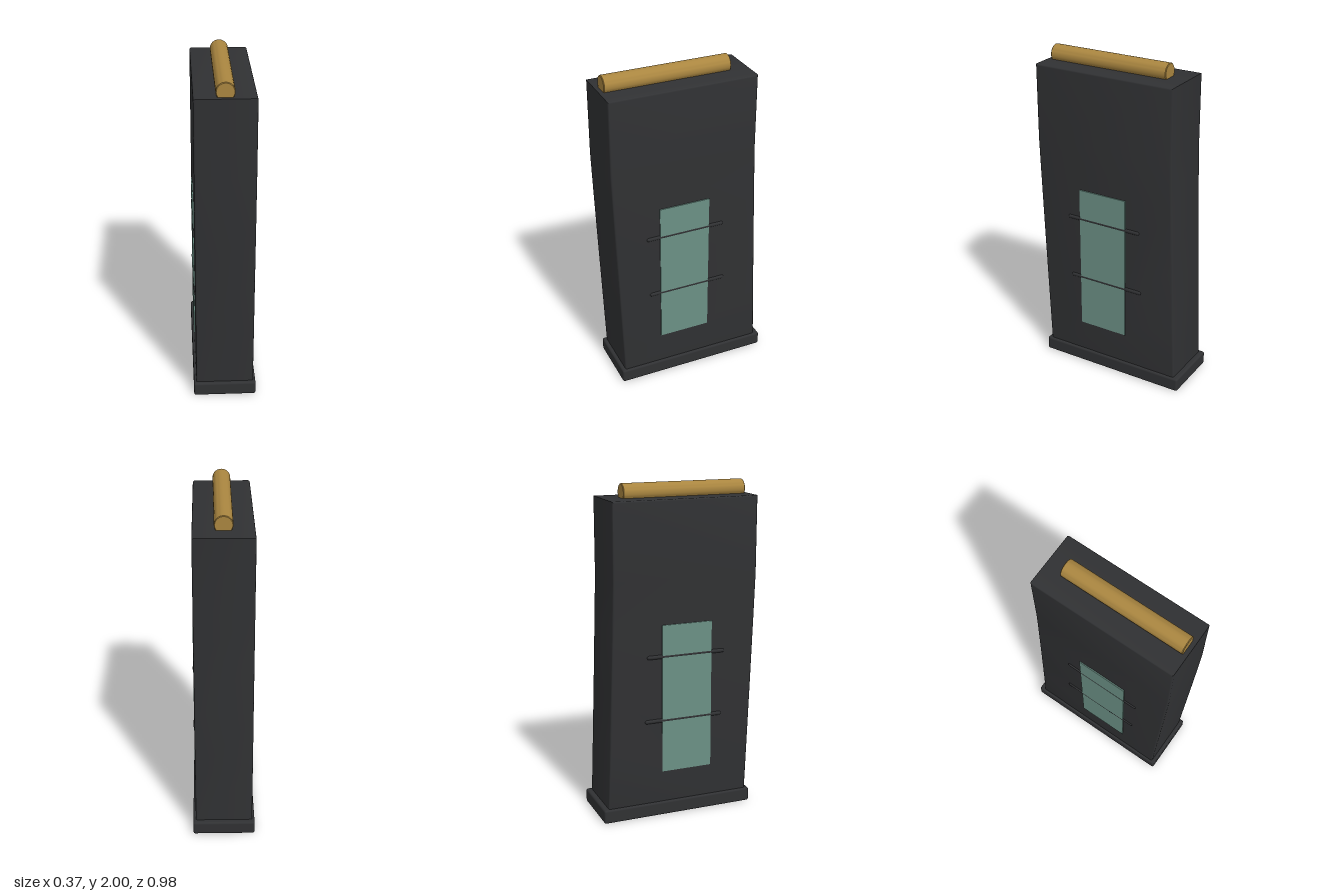
import * as THREE from 'three';
import { RoundedBoxGeometry } from 'three/addons/geometries/RoundedBoxGeometry.js';
import { toCreasedNormals } from 'three/addons/utils/BufferGeometryUtils.js';

const material = (color) => new THREE.MeshStandardMaterial({ color });

export function createModel() {
  const group = new THREE.Group();
  const dark = material(0x303133);
  const brass = material(0xaa8640);
  const glass = material(0x6b9085);

  const add = (name, geometry, mat, x = 0, y = 0, z = 0) => {
    const mesh = new THREE.Mesh(geometry, mat);
    mesh.name = name;
    mesh.position.set(x, y, z);
    group.add(mesh);
    return mesh;
  };

  // Body: side profile, straight at the top and sweeping back towards the base
  const halfWidth = 0.172, bevel = 0.01, depth = 0.9;
  const frontEdge = [[0.49, 1.917], [0.49, 1.46], [0.481, 1.18], [0.468, 0.8], [0.455, 0.44], [0.441, 0.06]];
  const outline = [
    ...frontEdge.map(([z, y]) => new THREE.Vector2(z, y)),
    ...frontEdge.map(([z, y]) => new THREE.Vector2(z - depth, y)).reverse(),
  ];
  const body = new THREE.ExtrudeGeometry(new THREE.Shape(outline), {
    depth: 2 * (halfWidth - bevel),
    bevelThickness: bevel,
    bevelSize: bevel,
    bevelOffset: -bevel,
    bevelSegments: 3,
  });
  body.translate(0, 0, -(halfWidth - bevel));
  body.rotateY(-Math.PI / 2);
  add('body', toCreasedNormals(body, 0.6), dark);

  // Base plate
  add('basePlate', new RoundedBoxGeometry(0.374, 0.085, 0.955, 3, 0.012), dark, 0, 0.0425, -0.0125);

  // Top round: cylinder along z with softened rims
  const length = 0.765, r = 0.053, c = 0.004;
  const round = new THREE.LatheGeometry([
    [0, 0], [r - c, 0], [r, c], [r, length - c], [r - c, length], [0, length],
  ].map(([x, y]) => new THREE.Vector2(x, y)), 32);
  round.rotateX(Math.PI / 2);
  add('round', toCreasedNormals(round, 0.6), brass, 0, 1.947, -0.3);

  // Windows and ribs on both sides
  for (const side of [1, -1]) {
    const label = side > 0 ? 'left' : 'right';
    add(label + 'Window', new THREE.BoxGeometry(0.012, 0.91, 0.315), glass, side * 0.1725, 0.735, 0.0425);
    [[1.0, 0.0375], [0.605, 0.0225]].forEach(([y, z], i) => {
      const rib = new THREE.CapsuleGeometry(0.013, 0.469, 6, 16);
      rib.rotateX(Math.PI / 2);
      add(label + (i ? 'LowerRib' : 'UpperRib'), rib, dark, side * 0.167, y, z);
    });
  }
  return group;
}
